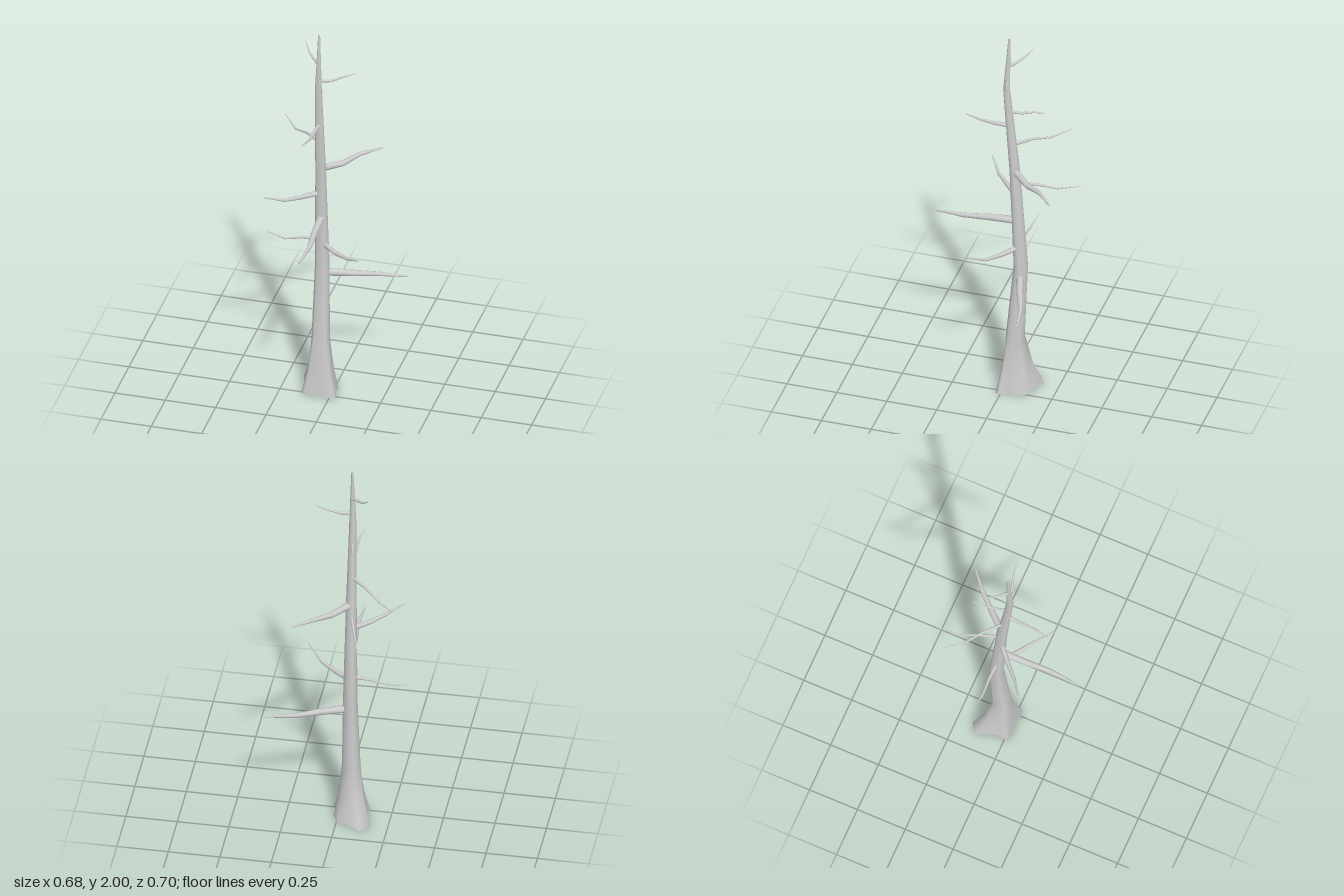
import * as THREE from 'three';

const TRUNK_X = -0.06;

// Trunk levels: height, centre z, radius, share of the root flare
const LEVELS = [
  [0, -0.07, 0.05, 1],
  [0.12, -0.057, 0.049, 0.43],
  [0.29, -0.048, 0.043, 0.05],
  [0.7, -0.076, 0.035, 0],
  [1.24, -0.046, 0.026, 0],
  [1.7, -0.005, 0.017, 0],
  [2, -0.018, 0.005, 0],
];

// Root flare (x, z), from the front round by the right-hand side
const ROOTS = [
  [-0.127, 0.021], [-0.045, 0.018], [0.026, 0.025], [0.035, 0.007], [0.011, -0.045], [0.022, -0.073],
  [-0.006, -0.13], [-0.06, -0.14], [-0.121, -0.174], [-0.171, -0.142], [-0.134, -0.045], [-0.141, 0.007],
];

// Branches: height, tip x, tip z, radius, then the rise at one third, two thirds and the tip
const BRANCHES = [
  [0.645, 0.339, -0.18, 0.02, -0.01, -0.019, -0.025],
  [0.81, 0.177, 0.126, 0.014, -0.007, 0.002, 0.047],
  [0.828, -0.339, -0.081, 0.008, -0.006, -0.025, -0.007],
  [0.96, -0.058, 0.349, 0.02, -0.007, -0.015, -0.022],
  [1.1, -0.292, 0.139, 0.014, 0, 0.008, 0.045],
  [1.18, -0.136, -0.35, 0.008, -0.015, -0.038, -0.015],
  [1.24, 0.182, -0.293, 0.018, -0.013, 0.006, 0.01],
  [1.39, -0.295, -0.262, 0.008, -0.004, -0.032, -0.013],
  [1.5, -0.082, 0.204, 0.011, -0.005, 0, 0.007],
  [1.58, -0.088, -0.195, 0.008, -0.005, 0.004, 0.007],
  [1.75, 0.114, -0.044, 0.008, 0.002, 0.023, 0.048],
  [1.838, -0.153, -0.112, 0.008, 0.01, 0.025, 0.062],
];

// Skin a stack of rings (each counterclockwise about its direction of travel) and cap both ends.
function loft(rings) {
  const n = rings[0].length;
  const pos = [];
  const index = [];
  rings.forEach(ring => ring.forEach(p => pos.push(p.x, p.y, p.z)));
  for (let i = 0; i < rings.length - 1; i++) {
    for (let j = 0; j < n; j++) {
      const a = i * n + j, b = i * n + (j + 1) % n;
      index.push(a, b, b + n, a, b + n, a + n);
    }
  }
  // Caps use their own vertices so the rim stays sharp
  [[rings[0], true], [rings[rings.length - 1], false]].forEach(([ring, flip]) => {
    const start = pos.length / 3;
    const c = new THREE.Vector3();
    ring.forEach(p => { pos.push(p.x, p.y, p.z); c.addScaledVector(p, 1 / n); });
    pos.push(c.x, c.y, c.z);
    for (let j = 0; j < n; j++) {
      const a = start + j, b = start + (j + 1) % n;
      index.push(start + n, flip ? b : a, flip ? a : b);
    }
  });
  const g = new THREE.BufferGeometry();
  g.setAttribute('position', new THREE.Float32BufferAttribute(pos, 3));
  g.setIndex(index);
  g.computeVertexNormals();
  return g;
}

// Trunk: a lobed root flare that blends into a round, bending, tapering stem.
function trunkGeometry() {
  const roots = ROOTS.map(([x, z]) => new THREE.Vector2(x - TRUNK_X, z - LEVELS[0][1]));
  return loft(LEVELS.map(([y, cz, r, flare]) => roots.map(o => {
    const s = flare + (1 - flare) * r / o.length();
    return new THREE.Vector3(TRUNK_X + o.x * s, y, cz + o.y * s);
  })));
}

// Centre of the trunk at a given height
function trunkCentre(y) {
  const i = LEVELS.findIndex(level => level[0] > y);
  const [y0, z0] = LEVELS[i - 1];
  const [y1, z1] = LEVELS[i];
  return new THREE.Vector3(TRUNK_X, y, THREE.MathUtils.mapLinear(y, y0, y1, z0, z1));
}

// Branch: tapering rings along a crooked path that sweeps slightly to one side.
function branchGeometry([height, tipX, tipZ, radius, rise1, rise2, rise3], sides = 8) {
  const start = trunkCentre(height);
  const dx = tipX - start.x, dz = tipZ - start.z;
  const path = [[0, 0, 0], [0.35, rise1, -0.01], [0.65, rise2, -0.03], [1, rise3, 0]].map(([f, rise, bend]) =>
    new THREE.Vector3(start.x + dx * f - dz * bend, height + rise, start.z + dz * f + dx * bend));
  const taper = [1, 0.8, 0.57, 0.2];
  const up = new THREE.Vector3(0, 1, 0);
  return loft(path.map((p, i) => {
    const before = path[Math.max(i - 1, 0)];
    const after = path[Math.min(i + 1, path.length - 1)];
    const t = after.clone().sub(before).normalize();
    const u = up.clone().cross(t).normalize();
    const v = t.clone().cross(u);
    return Array.from({ length: sides }, (_, j) => {
      const a = j / sides * Math.PI * 2;
      return p.clone()
        .addScaledVector(u, Math.cos(a) * radius * taper[i])
        .addScaledVector(v, Math.sin(a) * radius * taper[i]);
    });
  }));
}

export function createModel() {
  const material = new THREE.MeshStandardMaterial({ color: 0xcccccc });
  const tree = new THREE.Group();
  tree.name = 'deadTree';
  const add = (name, geometry) => {
    const mesh = new THREE.Mesh(geometry, material);
    mesh.name = name;
    tree.add(mesh);
  };
  add('trunk', trunkGeometry());
  BRANCHES.forEach((branch, i) => add(`branch${i + 1}`, branchGeometry(branch)));
  return tree;
}
